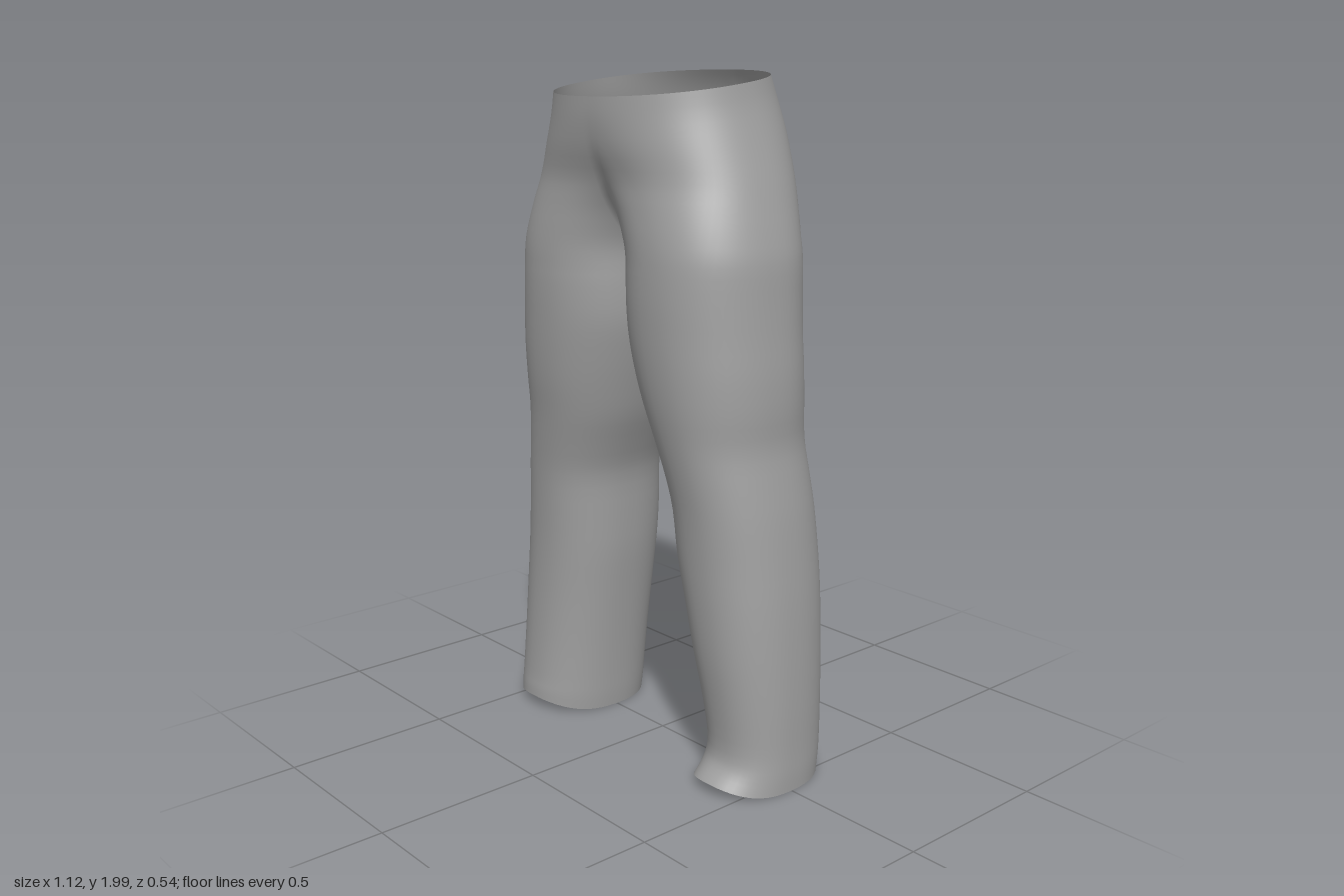
import * as THREE from 'three';
import { mergeVertices } from 'three/addons/utils/BufferGeometryUtils.js';

// Cross-sections from the waist down: [height, inner x, outer x, front z, back z].
// A negative inner x means the section runs past the centre and is cut there.
const hips = [
  [1.972, -0.34, 0.342, 0.268, 0.235],
  [1.91, -0.32, 0.353, 0.267, 0.258],
  [1.82, -0.25, 0.38, 0.258, 0.27],
  [1.72, -0.15, 0.413, 0.242, 0.258],
  [1.64, -0.07, 0.437, 0.245, 0.238],
  [1.57, -0.025, 0.456, 0.252, 0.222],
  [1.5, -0.002, 0.47, 0.257, 0.215],
  [1.4, 0.0, 0.476, 0.259, 0.21],
  [1.3, 0.006, 0.482, 0.256, 0.206],
];
const leftLeg = [
  [1.2, 0.028, 0.489, 0.25, 0.205],
  [1.1, 0.062, 0.49, 0.24, 0.203],
  [1.0, 0.105, 0.486, 0.225, 0.205],
  [0.9, 0.14, 0.5, 0.21, 0.212],
  [0.8, 0.163, 0.515, 0.197, 0.22],
  [0.67, 0.173, 0.529, 0.187, 0.228],
  [0.55, 0.2, 0.54, 0.18, 0.226],
  [0.4, 0.233, 0.549, 0.17, 0.218],
  [0.25, 0.267, 0.555, 0.154, 0.207],
  [0.13, 0.285, 0.557, 0.146, 0.2],
  [0.06, 0.28, 0.559, 0.165, 0.195],
  [0.01, 0.27, 0.558, 0.198, 0.19],
];
const rightLeg = [
  [1.2, 0.028, 0.486, 0.25, 0.205],
  [1.1, 0.055, 0.484, 0.24, 0.203],
  [1.0, 0.085, 0.485, 0.225, 0.205],
  [0.9, 0.125, 0.496, 0.212, 0.212],
  [0.8, 0.158, 0.509, 0.201, 0.22],
  [0.67, 0.167, 0.523, 0.193, 0.228],
  [0.55, 0.174, 0.536, 0.189, 0.226],
  [0.4, 0.19, 0.549, 0.19, 0.218],
  [0.25, 0.205, 0.557, 0.196, 0.207],
  [0.13, 0.215, 0.561, 0.204, 0.2],
  [0.06, 0.22, 0.561, 0.21, 0.195],
  [0.01, 0.225, 0.56, 0.212, 0.19],
];

const AROUND = 48;
const STEPS = 3;

// Smoothly subdivide a list of cross-sections
function refine(rows) {
  const out = [];
  const at = (i) => rows[Math.min(Math.max(i, 0), rows.length - 1)];
  for (let i = 0; i < rows.length - 1; i++) {
    for (let k = 0; k < STEPS; k++) {
      const t = k / STEPS;
      out.push(rows[i].map((_, c) => {
        const [p, q, r, s] = [at(i - 1)[c], at(i)[c], at(i + 1)[c], at(i + 2)[c]];
        return q + 0.5 * t * (r - p + t * (2 * p - 5 * q + 4 * r - s + t * (3 * (q - r) + s - p)));
      }));
    }
  }
  out.push(rows[rows.length - 1]);
  return out;
}

const power = (v, e) => Math.sign(v) * Math.abs(v) ** e;

// One half of the trousers: open arcs at the hips close into rings below the crotch
function addHalf(rows, side, positions, indices) {
  const start = positions.length / 3;
  const rings = refine(rows);
  rings.forEach(([y, inner, outer, front, back], row) => {
    const centre = (inner + outer) / 2;
    const radius = (outer - inner) / 2;
    const e = 0.9;
    const reach = Math.acos(-Math.min(1, Math.max(0, centre / radius) ** (1 / e)));
    const waistTilt = 0.14 * THREE.MathUtils.smoothstep(y, 1.6, 1.97);
    const hem = 1 - THREE.MathUtils.smoothstep(y, 0, 0.12);
    for (let i = 0; i <= AROUND; i++) {
      const a = reach * (2 * i / AROUND - 1);
      let x = centre + radius * power(Math.cos(a), e);
      if (inner <= 0 && (i === 0 || i === AROUND)) x = 0;
      const s = power(Math.sin(a), e);
      const z = s * (s > 0 ? front : back);
      // waist drops at the front, hem lifts over the instep
      const lift = hem * 0.035 * Math.max(0, s) ** 3;
      positions.push(side * x, y - waistTilt * z + lift, z);
      if (row === rings.length - 1 || i === AROUND) continue;
      const p = start + row * (AROUND + 1) + i;
      const q = p + AROUND + 1;
      if (side > 0) indices.push(p, p + 1, q, p + 1, q + 1, q);
      else indices.push(p, q, p + 1, p + 1, q, q + 1);
    }
  });
}

export function createModel() {
  const cloth = new THREE.MeshStandardMaterial({ color: 0xa0a0a0, side: THREE.DoubleSide });
  cloth.name = 'grey cloth';

  const positions = [];
  const indices = [];
  addHalf([...hips, ...leftLeg], 1, positions, indices);
  addHalf([...hips, ...rightLeg], -1, positions, indices);

  // Weld the centre and inner-leg seams so the cloth shades smoothly
  let geometry = new THREE.BufferGeometry();
  geometry.setAttribute('position', new THREE.Float32BufferAttribute(positions, 3));
  geometry.setIndex(indices);
  geometry = mergeVertices(geometry, 1e-4);
  geometry.computeVertexNormals();

  const trousers = new THREE.Mesh(geometry, cloth);
  trousers.name = 'trousers';
  const model = new THREE.Group();
  model.name = 'trousersModel';
  model.add(trousers);
  return model;
}
